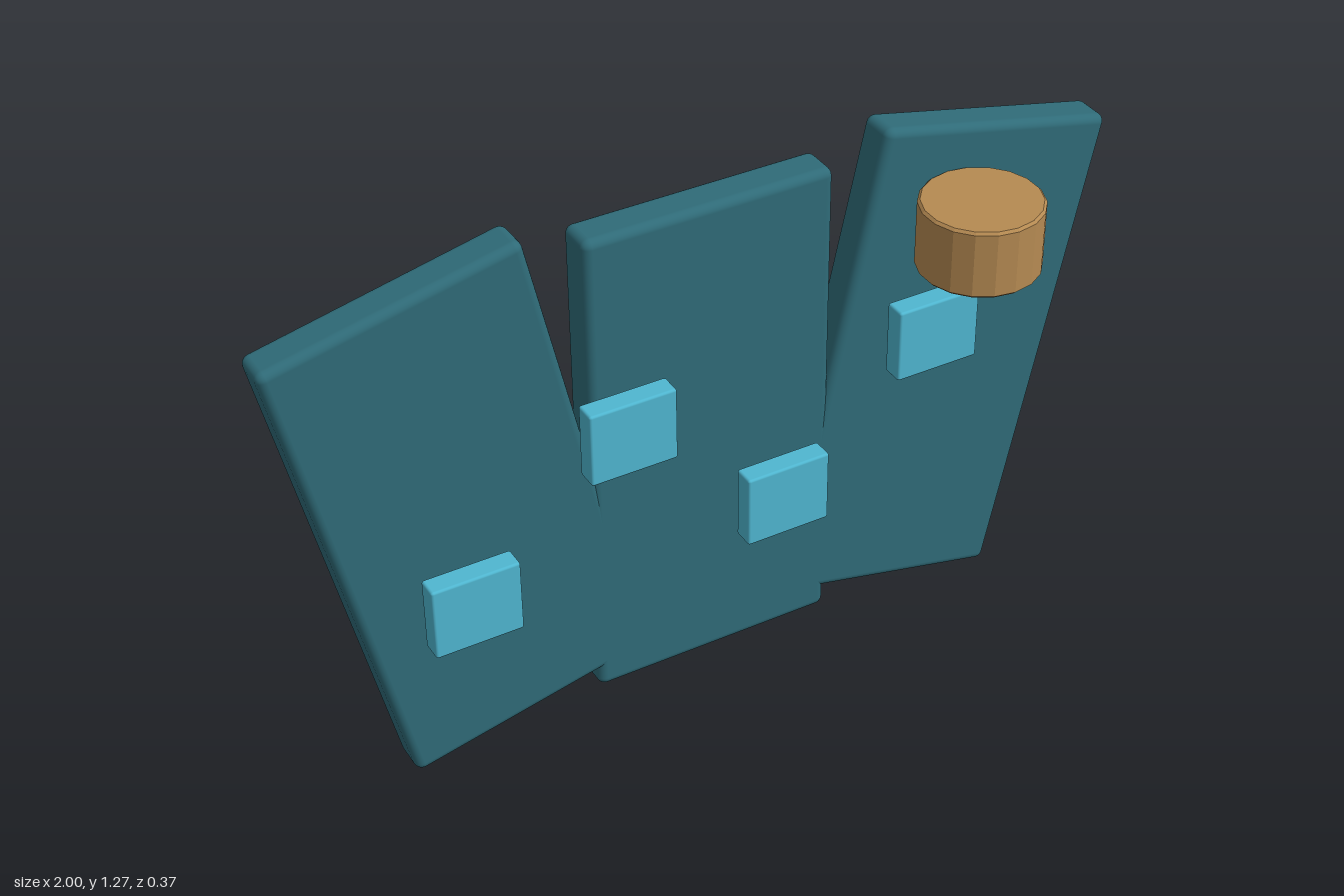
import * as THREE from 'three';
import { RoundedBoxGeometry } from 'three/addons/geometries/RoundedBoxGeometry.js';

const material = (name, color, flatShading = false) => {
  const m = new THREE.MeshStandardMaterial({ color, flatShading });
  m.name = name;
  return m;
};

export function createModel() {
  const group = new THREE.Group();
  const teal = material('deep teal', 0x2f6b78);
  const blue = material('light blue', 0x4fb6d0);
  const tan = material('tan', 0xb58a52, true);

  const add = (name, geometry, mat, x, y, z) => {
    const mesh = new THREE.Mesh(geometry, mat);
    mesh.name = name;
    mesh.position.set(x, y, z);
    group.add(mesh);
    return mesh;
  };

  // Three fanned back panels, the outer two leaning outwards
  const panel = new RoundedBoxGeometry(0.59, 1.18, 0.096, 3, 0.02);
  ['rightPanel', 'centrePanel', 'leftPanel'].forEach((name, i) => {
    const side = i - 1;
    add(name, panel, teal, side * 0.587, 0.64, -0.136).rotation.z = -side * 0.219;
  });

  // Four floating tiles in a zigzag row
  const tile = new RoundedBoxGeometry(0.204, 0.177, 0.052, 2, 0.006);
  for (let i = 0; i < 4; i++) {
    add('tile' + (i + 1), tile, blue, -0.628 + i * 0.3757, i % 2 ? 0.809 : 0.502, 0.002);
  }

  // Short round drum with a small rim bevel
  const r = 0.138, h = 0.081, b = 0.006;
  const profile = [[0, -h], [r - b, -h], [r, -h + b], [r, h - b], [r - b, h], [0, h]]
    .map(([x, y]) => new THREE.Vector2(x, y));
  add('drum', new THREE.LatheGeometry(profile, 18), tan, 0.58, 1.057, 0.045);

  return group;
}
